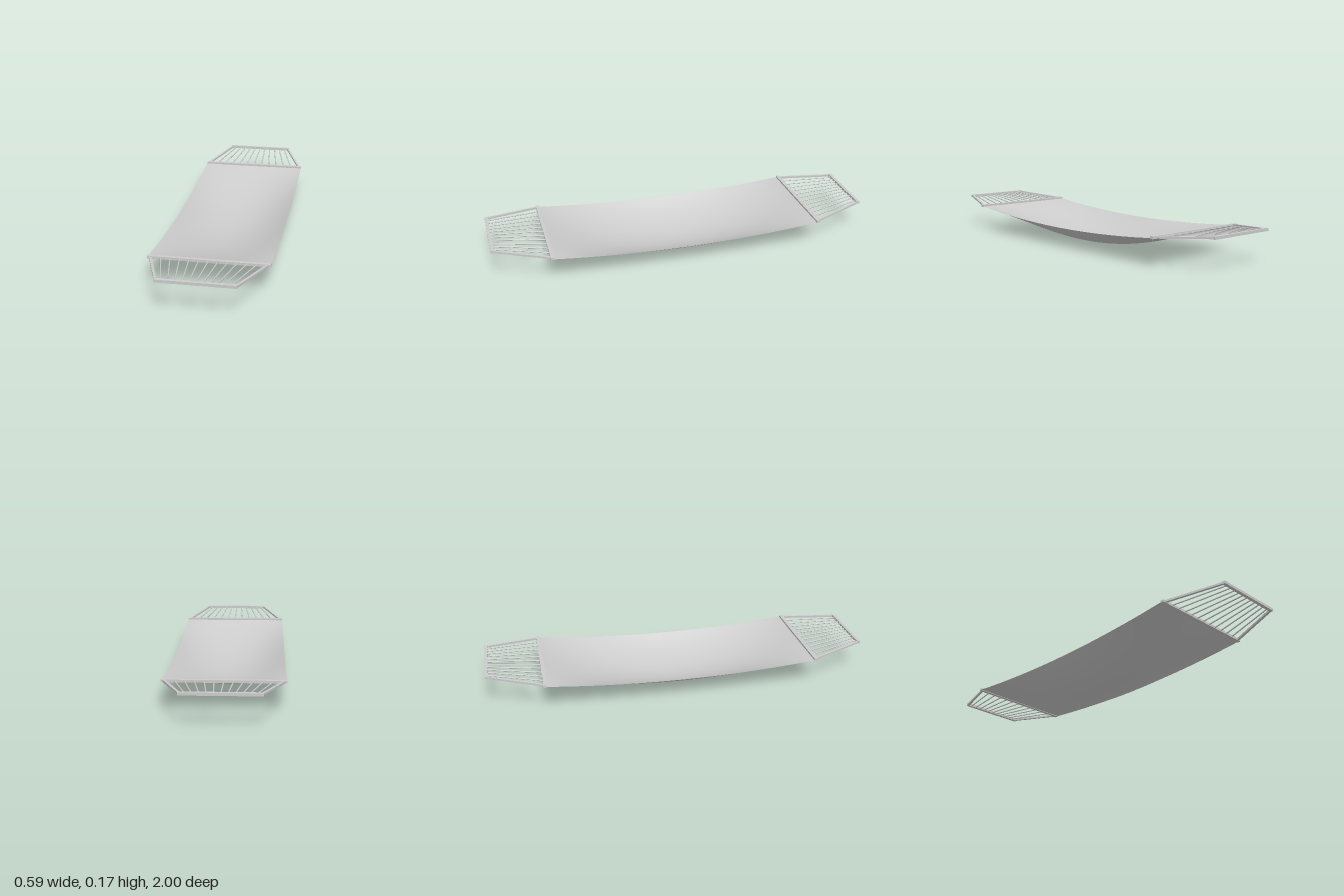
import * as THREE from 'three';

const HALF_W = 0.293, HALF_L = 0.705, END_Y = 0.141;
const mat = new THREE.MeshStandardMaterial({ color: 0xcccccc });
const clothMat = new THREE.MeshStandardMaterial({ color: 0xcccccc, side: THREE.DoubleSide });

function add(parent, name, geometry, material = mat) {
  const mesh = new THREE.Mesh(geometry, material);
  mesh.name = name;
  parent.add(mesh);
  return mesh;
}

// Lays a straight piece along the line from a to b
function span(parent, name, geometry, a, b) {
  const mesh = add(parent, name, geometry);
  mesh.position.copy(a).lerp(b, 0.5);
  mesh.lookAt(b);
  return mesh;
}

// Sagging cloth: flat at the bars, deepest along the middle
function clothGeometry() {
  const geo = new THREE.PlaneGeometry(2 * HALF_W, 2 * HALF_L, 24, 48).rotateX(-Math.PI / 2);
  const p = geo.attributes.position;
  for (let i = 0; i < p.count; i++) {
    const u = p.getX(i) / HALF_W, v = p.getZ(i) / HALF_L;
    p.setY(i, END_Y - (1 - v * v) * (0.036 + 0.103 * (1 - u * u)));
  }
  geo.computeVertexNormals();
  return geo;
}

// One end: spreader bar, end bar, two slanted side rods and fanned ropes
function createEnd(name) {
  const end = new THREE.Group();
  end.name = name;
  add(end, 'spreaderBar', new THREE.BoxGeometry(2 * HALF_W, 0.013, 0.018)).position.set(0, 0.1435, 0.709);
  add(end, 'endBar', new THREE.BoxGeometry(0.372, 0.014, 0.016)).position.set(0, 0.167, 0.992);

  for (const s of [-1, 1]) {
    const a = new THREE.Vector3(s * 0.28, 0.1435, 0.709);
    const b = new THREE.Vector3(s * 0.18, 0.167, 0.99);
    span(end, 'sideRod', new THREE.BoxGeometry(0.012, 0.01, a.distanceTo(b)), a, b);
  }
  for (let i = -5; i <= 5; i++) {
    const a = new THREE.Vector3(i * 0.046, 0.1435, 0.709);
    const b = new THREE.Vector3(i * 0.031, 0.166, 0.99);
    const rope = new THREE.CylinderGeometry(0.0035, 0.0035, a.distanceTo(b), 8).rotateX(Math.PI / 2);
    span(end, 'rope', rope, a, b);
  }
  return end;
}

export function createModel() {
  const model = new THREE.Group();
  model.name = 'hammock';
  add(model, 'cloth', clothGeometry(), clothMat);
  const back = createEnd('backEnd');
  back.rotation.y = Math.PI;
  model.add(createEnd('frontEnd'), back);
  return model;
}
